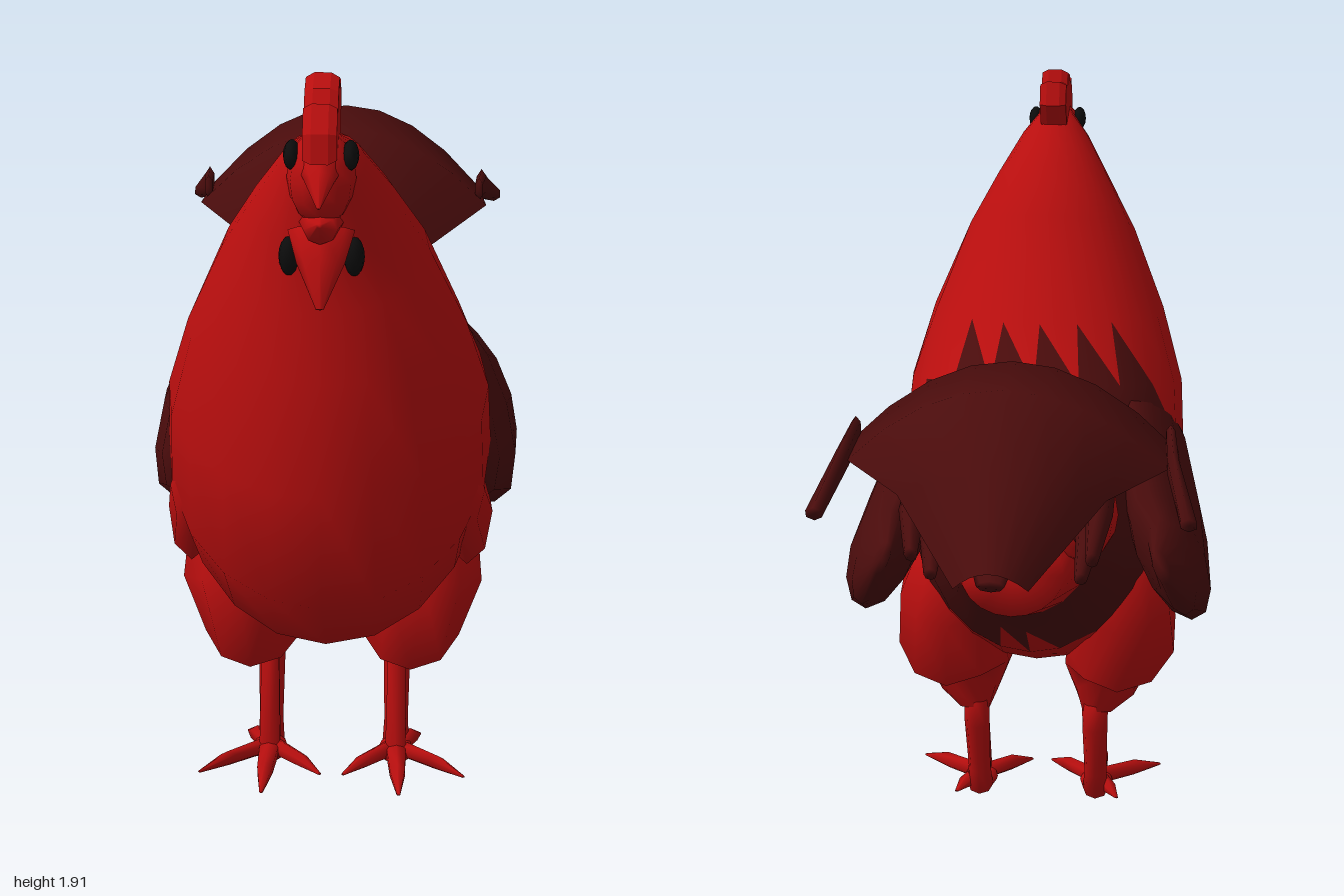
import * as THREE from 'three';

const RED = 0xb80e0e, DARK = 0x4a0c0c, BLACK = 0x0c0c0c;

function mat(color) {
  return new THREE.MeshStandardMaterial({ color, side: THREE.DoubleSide });
}

// Skin between closed rings of points, with both ends capped
function loft(rings) {
  const n = rings[0].length, pos = [], idx = [];
  rings.forEach(r => r.forEach(p => pos.push(p.x, p.y, p.z)));
  for (let i = 0; i < rings.length - 1; i++) {
    for (let j = 0; j < n; j++) {
      const a = i * n + j, b = i * n + (j + 1) % n;
      idx.push(a, b, a + n, b, b + n, a + n);
    }
  }
  [0, rings.length - 1].forEach((k, end) => {
    const c = new THREE.Vector3();
    rings[k].forEach(p => c.addScaledVector(p, 1 / n));
    const m = pos.length / 3;
    pos.push(c.x, c.y, c.z);
    for (let j = 0; j < n; j++) {
      const a = k * n + j, b = k * n + (j + 1) % n;
      idx.push(...(end ? [a, b, m] : [b, a, m]));
    }
  });
  // Turn the faces outward if the rings run the other way
  const at = i => new THREE.Vector3().fromArray(pos, i * 3);
  let volume = 0;
  for (let i = 0; i < idx.length; i += 3) volume += at(idx[i]).dot(at(idx[i + 1]).cross(at(idx[i + 2])));
  if (volume < 0) idx.reverse();
  const g = new THREE.BufferGeometry();
  g.setAttribute('position', new THREE.Float32BufferAttribute(pos, 3));
  g.setIndex(idx);
  g.computeVertexNormals();
  return g;
}

function ellipse(c, u, v, n) {
  return Array.from({ length: n }, (_, j) => {
    const a = j / n * Math.PI * 2;
    return c.clone().addScaledVector(u, Math.cos(a)).addScaledVector(v, Math.sin(a));
  });
}

// Rounded limb along stations [x, y, z, half height, half thickness in x]
function limb(stations, side = 1, n = 8, lean = 0) {
  return loft(stations.map(([x, y, z, h, t], i) => {
    const p = stations[Math.max(i - 1, 0)], q = stations[Math.min(i + 1, stations.length - 1)];
    const d = new THREE.Vector2(q[1] - p[1], q[2] - p[2]).normalize();
    return ellipse(new THREE.Vector3(x * side, y, z),
      new THREE.Vector3(-lean * h * side, -d.y * h, d.x * h), new THREE.Vector3(t * side, 0, 0), n);
  }));
}

function ball(x, y, z, rx, ry, rz) {
  return new THREE.SphereGeometry(1, 12, 8).scale(rx, ry, rz).translate(x, y, z);
}

// Flat profile in the side plane, points are [z, y]
function plate(points, half) {
  const shape = new THREE.Shape(points.map(([z, y]) => new THREE.Vector2(-z, y)));
  return new THREE.ExtrudeGeometry(shape, { depth: half, bevelEnabled: true, bevelSize: 0.008, bevelThickness: half / 2, bevelSegments: 1 })
    .translate(0, 0, -half / 2).rotateY(Math.PI / 2);
}

export function createModel() {
  const model = new THREE.Group();
  model.name = 'rooster';
  const add = (name, geometry, color) => {
    const mesh = new THREE.Mesh(geometry, mat(color));
    mesh.name = name;
    model.add(mesh);
    return mesh;
  };

  // Body from neck to vent: back z, back y, breast z, breast y, half width
  const body = loft([
    [0.79, 1.79, 0.88, 1.79, 0.04], [0.71, 1.77, 0.9, 1.68, 0.09], [0.6, 1.69, 0.87, 1.55, 0.155],
    [0.47, 1.58, 0.89, 1.42, 0.225], [0.28, 1.34, 0.91, 1.27, 0.31], [0.1, 1.23, 0.945, 1.02, 0.365],
    [0.02, 1.19, 0.9, 0.74, 0.375], [-0.04, 1.17, 0.7, 0.55, 0.365], [-0.09, 1.17, 0.45, 0.47, 0.335],
    [-0.14, 1.18, 0.2, 0.43, 0.29], [-0.19, 1.18, 0.0, 0.54, 0.25], [-0.25, 1.2, -0.12, 0.65, 0.21],
    [-0.34, 1.2, -0.3, 0.775, 0.18], [-0.45, 1.05, -0.53, 0.87, 0.12],
  ].map(([tz, ty, bz, by, w]) => ellipse(new THREE.Vector3(0, (ty + by) / 2, (tz + bz) / 2),
    new THREE.Vector3(0, (ty - by) / 2, (tz - bz) / 2), new THREE.Vector3(w, 0, 0), 20)));

  // Body skin is divided into red plumage and the dark saddle
  const red = [], dark = [], p = body.attributes.position, index = body.index.array;
  for (let i = 0; i < index.length; i += 3) {
    const f = [index[i], index[i + 1], index[i + 2]];
    const y = f.reduce((s, k) => s + p.getY(k) / 3, 0), z = f.reduce((s, k) => s + p.getZ(k) / 3, 0);
    const saddle = z < 0.28 && z > -0.37 && y > 0.6 && y < 1.28;
    (saddle ? dark : red).push(...f);
  }
  add('bodyPlumage', body.clone().setIndex(red), RED);
  add('saddle', body.clone().setIndex(dark), DARK);

  // Head, beak and comb
  add('head', ball(0, 1.71, 0.86, 0.072, 0.1, 0.085), RED);
  add('upperBeak', limb([[0, 1.745, 0.89, 0.045, 0.05], [0, 1.725, 0.95, 0.03, 0.03], [0, 1.685, 1.0, 0.004, 0.004]]), RED);
  add('lowerBeak', limb([[0, 1.62, 0.86, 0.045, 0.05], [0, 1.615, 0.92, 0.03, 0.035], [0, 1.635, 0.955, 0.005, 0.006]]), RED);
  add('comb', plate([[0.95, 1.77], [0.94, 1.82], [0.9, 1.865], [0.87, 1.85], [0.84, 1.885], [0.78, 1.9],
    [0.765, 1.87], [0.71, 1.88], [0.69, 1.83], [0.73, 1.77], [0.82, 1.75]], 0.035), RED);
  add('chinWattle', limb([[0, 1.6, 0.87, 0.03, 0.07], [0, 1.54, 0.91, 0.04, 0.05], [0, 1.455, 0.955, 0.006, 0.008]]), RED);

  // Tail fan: centre y, centre z, half width, edge y, edge z
  const rows = [[1.18, -0.25, 0.13, 1.14, -0.28], [1.3, -0.33, 0.24, 1.18, -0.36], [1.465, -0.45, 0.38, 1.26, -0.45],
    [1.47, -0.68, 0.36, 1.27, -0.6], [1.33, -0.84, 0.23, 1.24, -0.73], [1.17, -1.0, 0.08, 1.12, -0.965]];
  const fan = new THREE.PlaneGeometry(1, 1, 8, rows.length - 1), fp = fan.attributes.position;
  for (let i = 0; i < fp.count; i++) {
    const [cy, cz, w, ey, ez] = rows[Math.floor(i / 9)], u = (i % 9) / 4 - 1;
    fp.setXYZ(i, u * w, cy + (ey - cy) * u * u, cz + (ez - cz) * u * u);
  }
  fan.computeVertexNormals();
  add('tailFan', fan, DARK);
  add('tailCore', limb([[0, 1.13, -0.28, 0.07, 0.12], [0, 1.27, -0.45, 0.05, 0.13], [0, 1.32, -0.62, 0.04, 0.12],
    [0, 1.22, -0.83, 0.03, 0.08], [0, 1.13, -0.97, 0.02, 0.03]]), DARK);

  for (const s of [1, -1]) {
    const side = s > 0 ? 'left' : 'right';
    const part = (name, geometry, color) => add(side + name, geometry, color);
    part('Eye', ball(s * 0.06, 1.76, 0.87, 0.018, 0.03, 0.045), BLACK);
    part('EarLobe', ball(s * 0.068, 1.54, 0.86, 0.022, 0.042, 0.03), BLACK);

    // Wing and the breast feathers under its front edge
    part('Wing', limb([[0.27, 1.08, 0.62, 0.06, 0.04], [0.29, 1.0, 0.4, 0.2, 0.09], [0.325, 0.92, 0.12, 0.245, 0.1],
      [0.36, 0.86, -0.1, 0.185, 0.085], [0.365, 0.87, -0.19, 0.12, 0.05], [0.34, 0.9, -0.27, 0.04, 0.02]], s, 12, 0.3), DARK);
    part('FlankFeathers', limb([[0.25, 1.02, 0.76, 0.02, 0.03], [0.3, 0.9, 0.6, 0.1, 0.06],
      [0.325, 0.77, 0.43, 0.13, 0.06], [0.31, 0.66, 0.3, 0.05, 0.04]], s), RED);

    // Leg
    part('Thigh', limb([[0.2, 0.78, 0.14, 0.14, 0.11], [0.22, 0.66, 0.17, 0.18, 0.14], [0.225, 0.5, 0.24, 0.225, 0.15],
      [0.195, 0.4, 0.27, 0.19, 0.125], [0.185, 0.34, 0.2, 0.09, 0.08], [0.165, 0.29, 0.18, 0.04, 0.04]], s, 10), RED);
    part('Shank', limb([[0.16, 0.32, 0.175, 0.035, 0.035], [0.16, 0.25, 0.175, 0.034, 0.034],
      [0.16, 0.09, 0.225, 0.03, 0.03], [0.16, 0.02, 0.25, 0.04, 0.035]], s), RED);
    part('ShankFront', limb([[0.16, 0.32, 0.235, 0.02, 0.025], [0.16, 0.05, 0.295, 0.025, 0.03]], s, 6), RED);

    // Three front toes and a short hind toe, as end x and z
    [[0.17, 0.49], [0.33, 0.4], [0.03, 0.4], [0.22, 0.19]].forEach(([x, z], i) => {
      const mid = t => [0.16 + (x - 0.16) * t, 0.28 + (z - 0.28) * t];
      const [ax, az] = mid(0.6);
      part('Toe' + (i + 1), limb([[0.16, 0.04, 0.28, 0.025, 0.03], [ax, 0.037, az, 0.022, 0.022], [x, 0.025, z, 0.004, 0.005]], s, 6), RED);
    });
    part('FootPad', ball(s * 0.16, 0.03, 0.28, 0.045, 0.03, 0.05), RED);

    // Fluff and curved feathers beside the tail
    part('TailFluff', ball(s * 0.15, 1.07, -0.37, 0.09, 0.11, 0.12), RED);
    part('SideSickle', limb([[0.36, 1.3, -0.46, 0.03, 0.012], [0.37, 1.275, -0.6, 0.04, 0.015], [0.41, 1.2, -0.76, 0.02, 0.02]], s, 6), DARK);
    part('UpperCovert', limb([[0.15, 1.13, -0.36, 0.05, 0.05], [0.2, 1.195, -0.53, 0.045, 0.04],
      [0.21, 1.17, -0.64, 0.04, 0.03], [0.2, 1.105, -0.745, 0.025, 0.015]], s), DARK);
    part('LowerCovert', limb([[0.14, 1.08, -0.4, 0.04, 0.04], [0.18, 1.07, -0.53, 0.035, 0.03], [0.17, 1.02, -0.65, 0.018, 0.015]], s), DARK);
  }
  return model;
}
